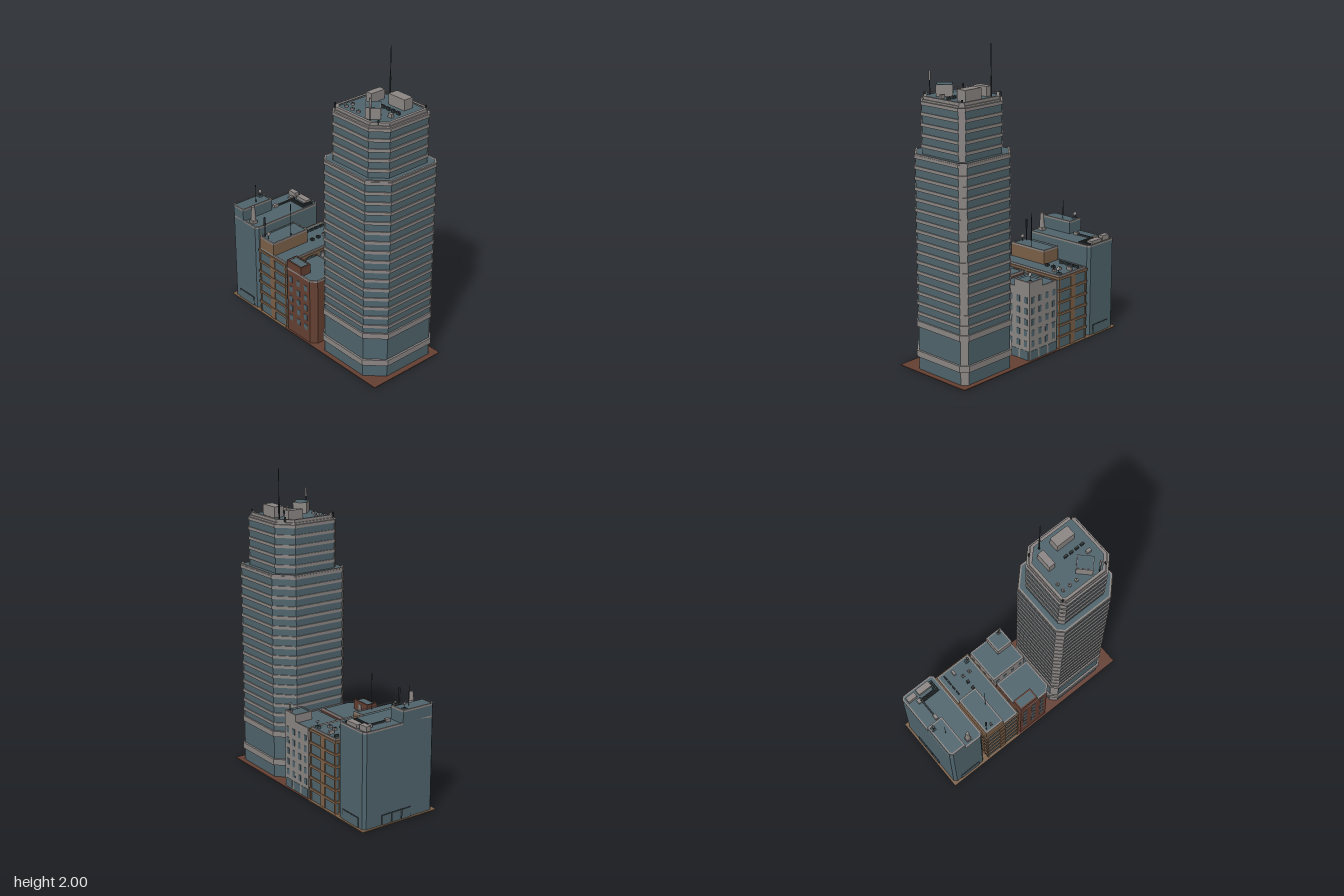
import * as THREE from 'three';

const mat = (name, color) => {
  const m = new THREE.MeshStandardMaterial({ color });
  m.name = name;
  return m;
};

export function createModel() {
  const glass = mat('blue grey glass', 0x4f646c);
  const stone = mat('warm grey stone', 0x8b8684);
  const brick = mat('red brown brick', 0x643f32);
  const tan = mat('tan masonry', 0x7c6047);
  const dark = mat('dark metal', 0x2f3537);
  const root = new THREE.Group();
  let parent = root;

  const add = (name, geo, m, x = 0, y = 0, z = 0, ry = 0) => {
    const mesh = new THREE.Mesh(geo, m);
    mesh.name = name;
    mesh.position.set(x, y, z);
    mesh.rotation.y = ry;
    parent.add(mesh);
    return mesh;
  };
  const group = (name) => {
    parent = new THREE.Group();
    parent.name = name;
    root.add(parent);
  };
  // box from its minimum and maximum corners
  const box = (name, m, x0, x1, y0, y1, z0, z1) => add(name,
    new THREE.BoxGeometry(x1 - x0, y1 - y0, z1 - z0), m, (x0 + x1) / 2, (y0 + y1) / 2, (z0 + z1) / 2);
  const rod = (name, m, r, x, y0, y1, z, sides = 6) => add(name,
    new THREE.CylinderGeometry(r, r, y1 - y0, sides), m, x, (y0 + y1) / 2, z);

  // plan = [x0, x1, z0, z1, [cuts: back left, back right, front right, front left]] in x/z screen order
  const grow = ([x0, x1, z0, z1, c], d) =>
    [x0 - d, x1 + d, z0 - d, z1 + d, c.map((v) => (v ? Math.max(v + d * 0.586, 0.002) : 0))];
  const corners = ([x0, x1, z0, z1, [a, b, c, d]]) => [
    [x0, z0 + a], [x0 + a, z0], [x1 - b, z0], [x1, z0 + b],
    [x1, z1 - c], [x1 - c, z1], [x0 + d, z1], [x0, z1 - d],
  ].filter((p, i, all) => {
    const q = all[(i + 7) % 8];
    return Math.hypot(p[0] - q[0], p[1] - q[1]) > 1e-6;
  }).map(([x, z]) => new THREE.Vector2(x, -z));
  const slab = (name, m, plan, y0, y1, rim = 0) => {
    const shape = new THREE.Shape(corners(plan));
    if (rim) shape.holes.push(new THREE.Path(corners(grow(plan, -rim))));
    const geo = new THREE.ExtrudeGeometry(shape, { depth: y1 - y0, bevelEnabled: false });
    geo.rotateX(-Math.PI / 2);
    return add(name, geo, m, 0, y0, 0);
  };
  const roof = (plan, y, trim) => {
    slab('roofDeck', glass, grow(plan, -0.004), y, y + 0.003);
    slab('roofRim', trim, plan, y, y + 0.012, 0.01);
  };
  const dish = (x, y, z, h) => {
    rod('dishPole', dark, 0.002, x, y, y + h, z);
    const d = add('dish', new THREE.CylinderGeometry(0.013, 0.004, 0.008, 10), stone, x, y + h, z);
    d.rotation.set(0.9, 0.5, 0);
  };
  const vent = (x, y, z, s, h, m = stone) => {
    box('vent', m, x - s, x + s, y, y + h, z - s, z + s);
    box('ventGrille', dark, x - s * 0.6, x + s * 0.6, y + h, y + h + 0.003, z - s * 0.6, z + s * 0.6);
  };

  // ground plates
  group('ground');
  box('frontGround', brick, -0.28, 0.28, 0, 0.005, -0.145, 0.71);
  box('middleGround', tan, -0.28, 0.28, 0.001, 0.006, -0.425, -0.145);
  box('middleUnderside', stone, -0.28, 0.28, 0, 0.001, -0.425, -0.145);
  box('backGround', tan, -0.28, 0.28, 0, 0.005, -0.71, -0.425);

  // tower shaft, set back near the top
  group('tower');
  const lower = [-0.25, 0.247, 0.178, 0.674, [0.04, 0.107, 0.034, 0.105]];
  const upper = [-0.21, 0.205, 0.218, 0.634, [0.032, 0.09, 0.028, 0.085]];
  slab('lowerShaft', glass, lower, 0.005, 1.348);
  slab('upperShaft', glass, upper, 1.34, 1.66);
  slab('baseBand', stone, grow(lower, 0.013), 0.09, 0.13);
  slab('lobbyBand', stone, grow(lower, 0.01), 0.285, 0.322);
  for (let i = 0; i < 16; i++) {
    const y = 0.371 + i * 0.0647;
    slab('floorBand', stone, grow(lower, 0.007), y - 0.01, y + 0.01);
  }
  for (let i = 0; i < 5; i++) {
    const y = 1.402 + i * 0.0634;
    slab('upperFloorBand', stone, grow(upper, 0.007), y - 0.01, y + 0.01);
  }
  // stone strips on the two narrow corners
  for (const [p, y0, y1] of [[lower, 0.005, 1.348], [upper, 1.348, 1.66]]) {
    const [x0, x1, z0, z1, c] = p;
    for (const [x, z, w] of [[x0 + c[0] / 2, z0 + c[0] / 2, c[0]], [x1 - c[2] / 2, z1 - c[2] / 2, c[2]]])
      add('cornerStrip', new THREE.BoxGeometry(w * 1.41, y1 - y0, 0.008), stone, x, (y0 + y1) / 2, z, Math.PI / 4);
  }
  slab('terraceDeck', glass, grow(lower, -0.006), 1.35, 1.354);
  slab('terraceRim', stone, grow(lower, 0.004), 1.35, 1.36, 0.012);
  slab('parapetStep', stone, grow(upper, -0.004), 1.66, 1.677);
  slab('parapet', stone, grow(upper, -0.011), 1.66, 1.695, 0.018);
  slab('roofDeck', glass, grow(upper, -0.02), 1.676, 1.682);

  // tower roof equipment
  group('towerRoofEquipment');
  const r = 1.68;
  box('plantBox', stone, 0.005, 0.112, r, 1.742, 0.293, 0.337);
  box('plantBox', stone, 0.073, 0.14, r, 1.75, 0.41, 0.54);
  add('angledPlantRoom', new THREE.BoxGeometry(0.1, 0.07, 0.09), stone, -0.103, r + 0.035, 0.47, Math.PI / 4);
  add('angledPlantRoof', new THREE.BoxGeometry(0.092, 0.003, 0.082), glass, -0.103, 1.7505, 0.47, Math.PI / 4);
  for (const [x, z] of [[-0.135, 0.28], [-0.087, 0.28], [-0.135, 0.33], [-0.135, 0.38]]) {
    rod('fan', stone, 0.011, x, r, r + 0.014, z, 8);
    rod('fanHub', dark, 0.004, x, r, r + 0.017, z);
  }
  for (let i = 0; i < 4; i++) box('ventBox', dark, 0.009, 0.022, r, r + 0.02, 0.415 + i * 0.041, 0.44 + i * 0.041);
  box('hatch', stone, -0.052, -0.032, r, r + 0.025, 0.535, 0.565);
  for (const [x, z] of [[-0.185, 0.235], [0.155, 0.268], [0.18, 0.607], [-0.163, 0.575]])
    rod('cornerLamp', dark, 0.006, x, r, 1.71, z);
  rod('mast', dark, 0.0025, 0.152, r, 2, 0.34);
  rod('mastBase', dark, 0.005, 0.152, r, 1.81, 0.34);
  rod('aerialPole', dark, 0.003, -0.175, r, 1.77, 0.52);
  rod('aerialHead', stone, 0.007, -0.175, 1.77, 1.828, 0.52, 8);

  // windows around a rectangular building
  const windows = (x0, x1, z0, z1, cols, rows, y0, dy, w, h) => {
    for (let i = 0; i < cols; i++) for (let j = 0; j < rows; j++) {
      const t = (i + 0.5) / cols, y = y0 + j * dy;
      const z = z0 + (z1 - z0) * t, x = x0 + (x1 - x0) * t;
      for (const s of [x0, x1]) box('window', glass, s - 0.002, s + 0.002, y, y + h, z - w / 2, z + w / 2);
      for (const s of [z0, z1]) if (x - w / 2 > x0 + 0.035 || s === z0)
        box('window', glass, x - w / 2, x + w / 2, y, y + h, s - 0.002, s + 0.002);
    }
  };

  // pair of small buildings
  group('greyHouse');
  const none = [0, 0, 0, 0];
  const greyPlan = [0.015, 0.265, -0.128, 0.128, none];
  slab('walls', stone, greyPlan, 0.005, 0.46);
  roof(greyPlan, 0.46, stone);
  const greyTop = [0.14, 0.265, 0.01, 0.128, none];
  slab('stairBlock', stone, greyTop, 0.46, 0.505);
  roof(greyTop, 0.505, stone);
  windows(0.015, 0.265, -0.128, 0.128, 4, 5, 0.09, 0.072, 0.026, 0.04);
  windows(0.015, 0.265, -0.128, 0.128, 3, 1, 0.005, 1, 0.068, 0.06);
  vent(0.245, 0.508, 0.1, 0.011, 0.012);
  dish(0.245, 0.51, 0.1, 0.05);

  group('brickHouse');
  const brickPlan = [-0.268, -0.015, -0.128, 0.128, [0, 0, 0, 0.036]];
  slab('walls', brick, brickPlan, 0.005, 0.46);
  roof(brickPlan, 0.46, stone);
  const brickTop = [-0.268, -0.19, -0.128, 0.01, none];
  slab('stairBlock', brick, brickTop, 0.46, 0.515);
  roof(brickTop, 0.515, brick);
  box('roofDoor', stone, -0.191, -0.186, 0.463, 0.51, -0.07, -0.04);
  windows(-0.268, -0.015, -0.128, 0.088, 3, 5, 0.09, 0.072, 0.03, 0.04);

  // banded tan block
  group('tanBlock');
  const tanPlan = [-0.262, 0.262, -0.41, -0.152, none];
  slab('walls', glass, tanPlan, 0.006, 0.48);
  for (const y of [0.08, 0.158, 0.235, 0.312, 0.39, 0.472])
    slab('ledge', tan, grow(tanPlan, 0.008), y - 0.008, y + 0.008);
  for (const s of [-0.262, 0.262]) {
    box('centrePier', tan, s - 0.005, s + 0.005, 0.006, 0.48, -0.304, -0.26);
    for (const z of [-0.408, -0.154]) box('cornerPier', tan, s - 0.005, s + 0.005, 0.006, 0.48, z - 0.005, z + 0.005);
  }
  for (let i = 0; i < 5; i++) for (const z of [-0.41, -0.152])
    box('facePier', tan, -0.235 + i * 0.107, -0.193 + i * 0.107, 0.006, 0.48, z - 0.005, z + 0.005);
  roof(tanPlan, 0.48, stone);
  const tanTop = [-0.262, 0.025, -0.41, -0.272, none];
  slab('penthouse', tan, tanTop, 0.48, 0.565);
  roof(tanTop, 0.565, stone);
  for (let i = 0; i < 4; i++) box('roofPipe', dark, 0.08 + i * 0.043, 0.11 + i * 0.043, 0.483, 0.5, -0.37, -0.362);
  box('roofBox', stone, 0.2, 0.235, 0.483, 0.505, -0.312, -0.295);
  for (const [x, z, m] of [[0.06, -0.267, dark], [0.112, -0.267, dark], [0.163, -0.267, stone], [0.163, -0.215, stone]])
    vent(x, 0.483, z, 0.01, 0.015, m);
  vent(0.23, 0.483, -0.185, 0.013, 0.015, glass);
  dish(0.23, 0.49, -0.18, 0.035);
  dish(-0.235, 0.568, -0.355, 0.035);
  rod('mast', dark, 0.002, -0.1, 0.568, 0.8, -0.29);
  rod('aerialPole', dark, 0.003, -0.235, 0.568, 0.65, -0.39);
  rod('aerialHead', dark, 0.007, -0.235, 0.65, 0.71, -0.39);

  // tall plain block at the back
  group('backBlock');
  const backPlan = [-0.263, 0.263, -0.695, -0.44, [0.018, 0.018, 0.018, 0.018]];
  slab('walls', glass, backPlan, 0.005, 0.608);
  roof(backPlan, 0.608, stone);
  const backTop = [-0.263, -0.022, -0.695, -0.58, [0.018, 0, 0, 0]];
  slab('upperBlock', glass, backTop, 0.608, 0.685);
  roof(backTop, 0.685, stone);
  // framed doors
  for (const s of [-0.263, 0.263]) {
    box('doorFrame', dark, s - 0.003, s + 0.003, 0.005, 0.07, -0.642, -0.488);
    box('door', glass, s - 0.0045, s + 0.0045, 0.005, 0.066, -0.638, -0.492);
  }
  for (let i = 0; i < 3; i++) {
    const x = -0.09 + i * 0.075;
    box('doorFrame', dark, x, x + 0.07, 0.005, 0.07, -0.698, -0.692);
    box('door', glass, x + 0.004, x + 0.066, 0.005, 0.066, -0.6995, -0.691);
  }
  // back roof equipment
  vent(-0.22, 0.61, -0.527, 0.019, 0.02);
  add('chimney', new THREE.CylinderGeometry(0.012, 0.018, 0.1, 8), stone, -0.22, 0.68, -0.527);
  box('airUnit', stone, 0.2, 0.235, 0.61, 0.645, -0.675, -0.61);
  box('airUnit', stone, 0.2, 0.242, 0.61, 0.635, -0.592, -0.492);
  box('airUnit', stone, 0.005, 0.038, 0.61, 0.63, -0.61, -0.588);
  box('airUnit', stone, 0.155, 0.185, 0.61, 0.63, -0.628, -0.606);
  for (let i = 0; i < 3; i++) {
    const d = i * 0.011;
    box('duct', dark, 0.15 + d, 0.156 + d, 0.611, 0.622, -0.6, -0.468 - d);
    box('duct', dark, 0.15 + d, 0.235, 0.611, 0.622, -0.474 - d, -0.468 - d);
  }
  box('duct', dark, 0.038, 0.19, 0.612, 0.622, -0.604, -0.594);
  vent(-0.052, 0.688, -0.67, 0.014, 0.012, glass);
  dish(-0.052, 0.69, -0.67, 0.035);
  rod('mast', dark, 0.002, -0.12, 0.688, 0.815, -0.625);

  return root;
}
